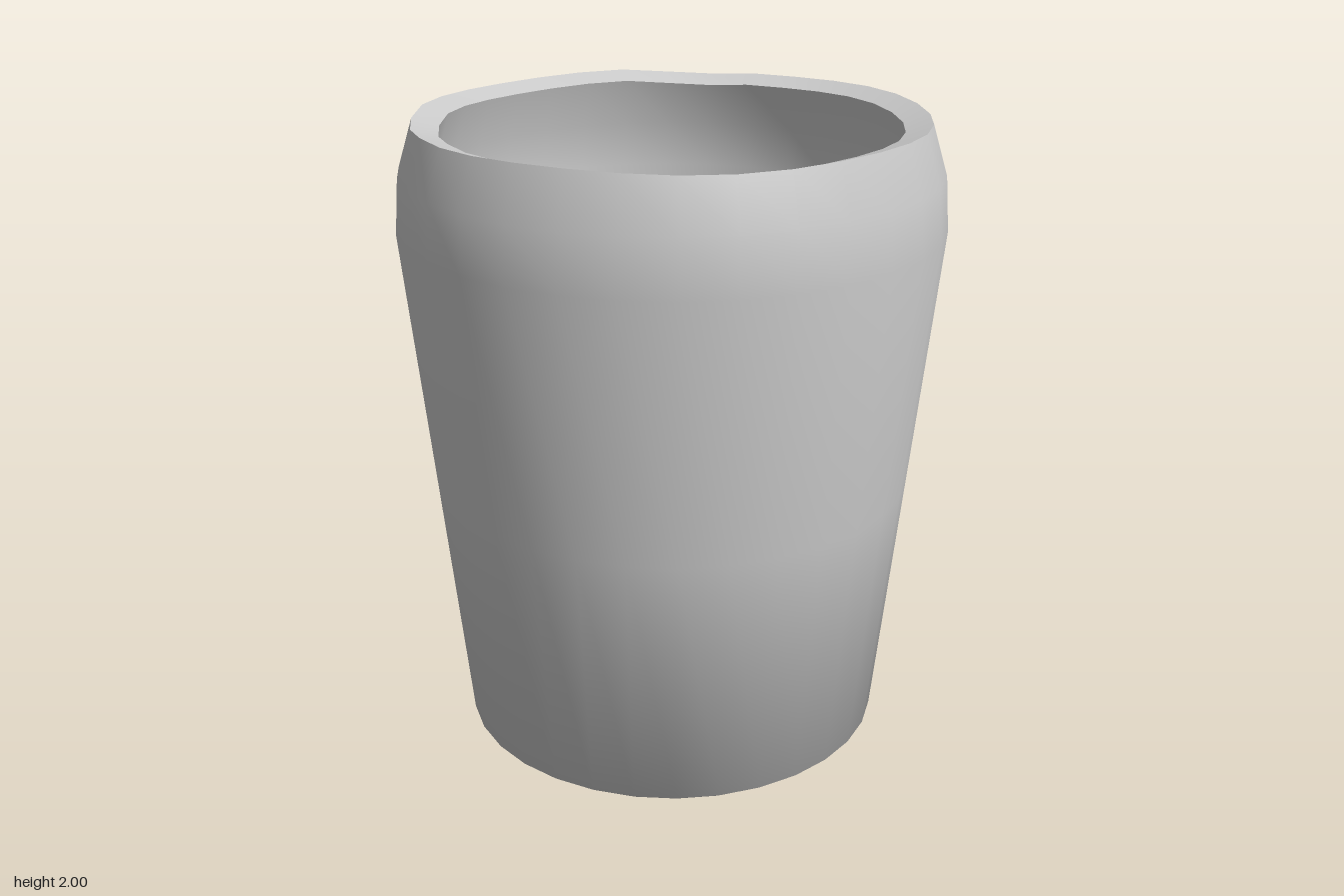
import * as THREE from 'three';
import { toCreasedNormals } from 'three/addons/utils/BufferGeometryUtils.js';

export function createModel() {
  const group = new THREE.Group();
  group.name = 'cup';

  // Closed wall profile: base, outside, rim, inside, floor
  const profile = [
    [0, 0], [0.66, 0], [0.68, 0.015], [0.763, 0.85], [0.845, 1.67], [0.832, 1.84], [0.785, 2],
    [0.703, 1.975], [0.748, 1.82], [0.762, 1.67], [0.685, 0.87], [0.625, 0.13], [0.59, 0.085], [0, 0.08],
  ].map(([r, y]) => new THREE.Vector2(r, y));
  const lathe = new THREE.LatheGeometry(profile, 32);

  // Slightly uneven rim, worn down in two places at the back
  const pos = lathe.attributes.position;
  for (let i = 0; i < pos.count; i++) {
    const y = pos.getY(i);
    if (y < 1.9) continue;
    const a = Math.atan2(pos.getX(i), pos.getZ(i));
    const wear = Math.exp(-(((Math.abs(a) - 2.25) / 0.15) ** 2));
    pos.setY(i, y - 0.004 * (1 - Math.cos(a * 5)) - 0.015 * wear);
  }

  // Smooth walls with sharp rim and base edges
  const body = new THREE.Mesh(
    toCreasedNormals(lathe, 0.9),
    new THREE.MeshStandardMaterial({ color: 0xcccccc }),
  );
  body.name = 'cupBody';
  group.add(body);
  return group;
}
